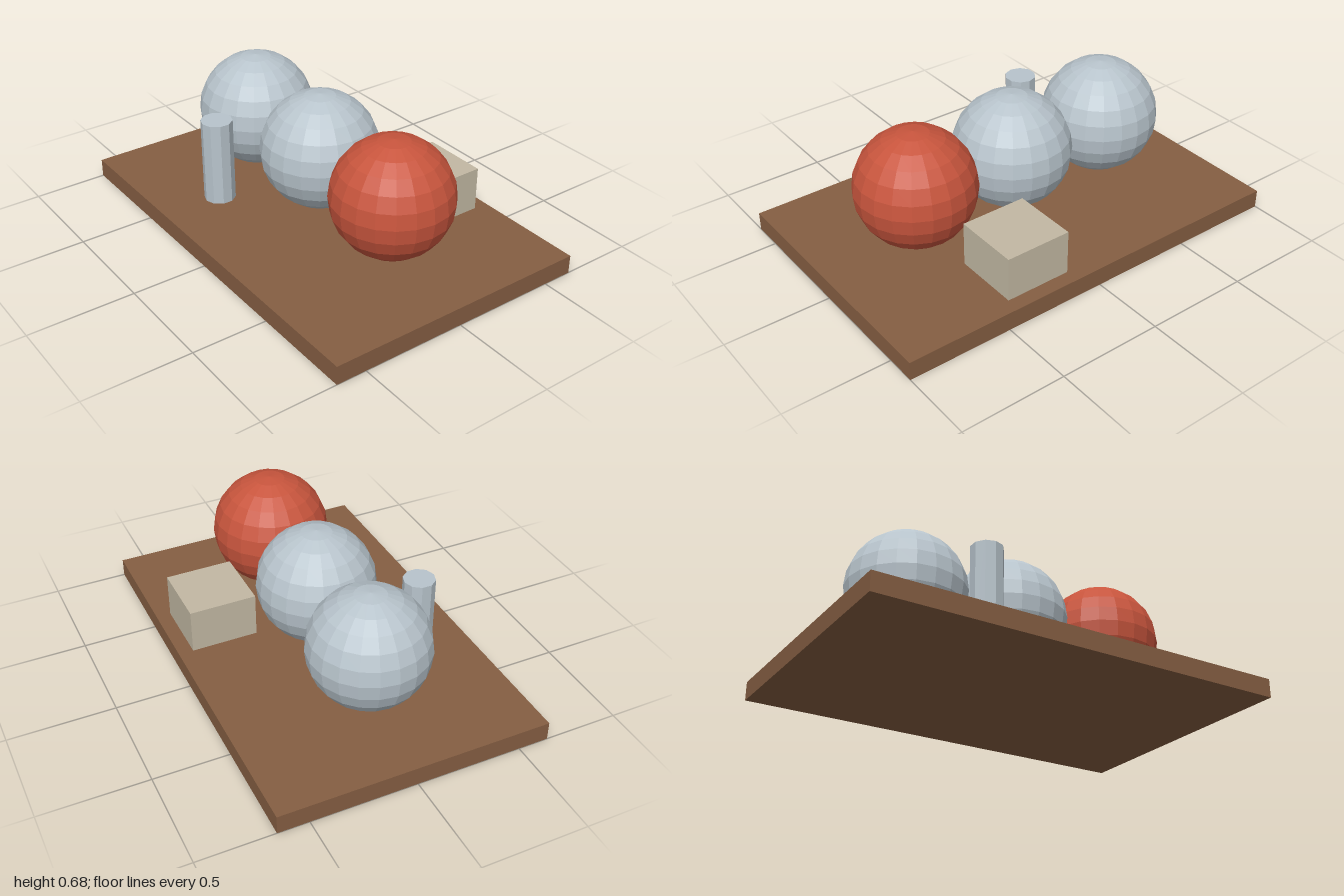
import * as THREE from 'three';

const material = (name, color) => {
  const m = new THREE.MeshStandardMaterial({ color, flatShading: true });
  m.name = name;
  return m;
};

export function createModel() {
  const group = new THREE.Group();
  const wood = material('brown wood', 0x855e42);
  const grey = material('pale grey', 0xb8c4cc);
  const red = material('brick red', 0xc8553d);
  const beige = material('beige', 0xc2b8a3);

  const add = (name, geometry, mat, x, y, z) => {
    const mesh = new THREE.Mesh(geometry, mat);
    mesh.name = name;
    mesh.position.set(x, y, z);
    group.add(mesh);
  };

  // Flat board resting on the ground
  add('board', new THREE.BoxGeometry(2, 0.09, 1.29), wood, 0, 0.045, 0);

  // Row of three faceted balls, the last one red
  const ball = new THREE.SphereGeometry(0.281, 20, 12);
  add('rightBall', ball, grey, -0.53, 0.399, 0);
  add('middleBall', ball, grey, 0, 0.399, 0);
  add('leftBall', ball, red, 0.53, 0.399, 0);

  // Ten-sided post in front, hovering just above the board
  add('post', new THREE.CylinderGeometry(0.075, 0.075, 0.41, 10), grey, -0.325, 0.311, 0.355);

  // Block behind the balls
  add('block', new THREE.BoxGeometry(0.322, 0.215, 0.322), beige, 0.294, 0.1975, -0.414);

  return group;
}
